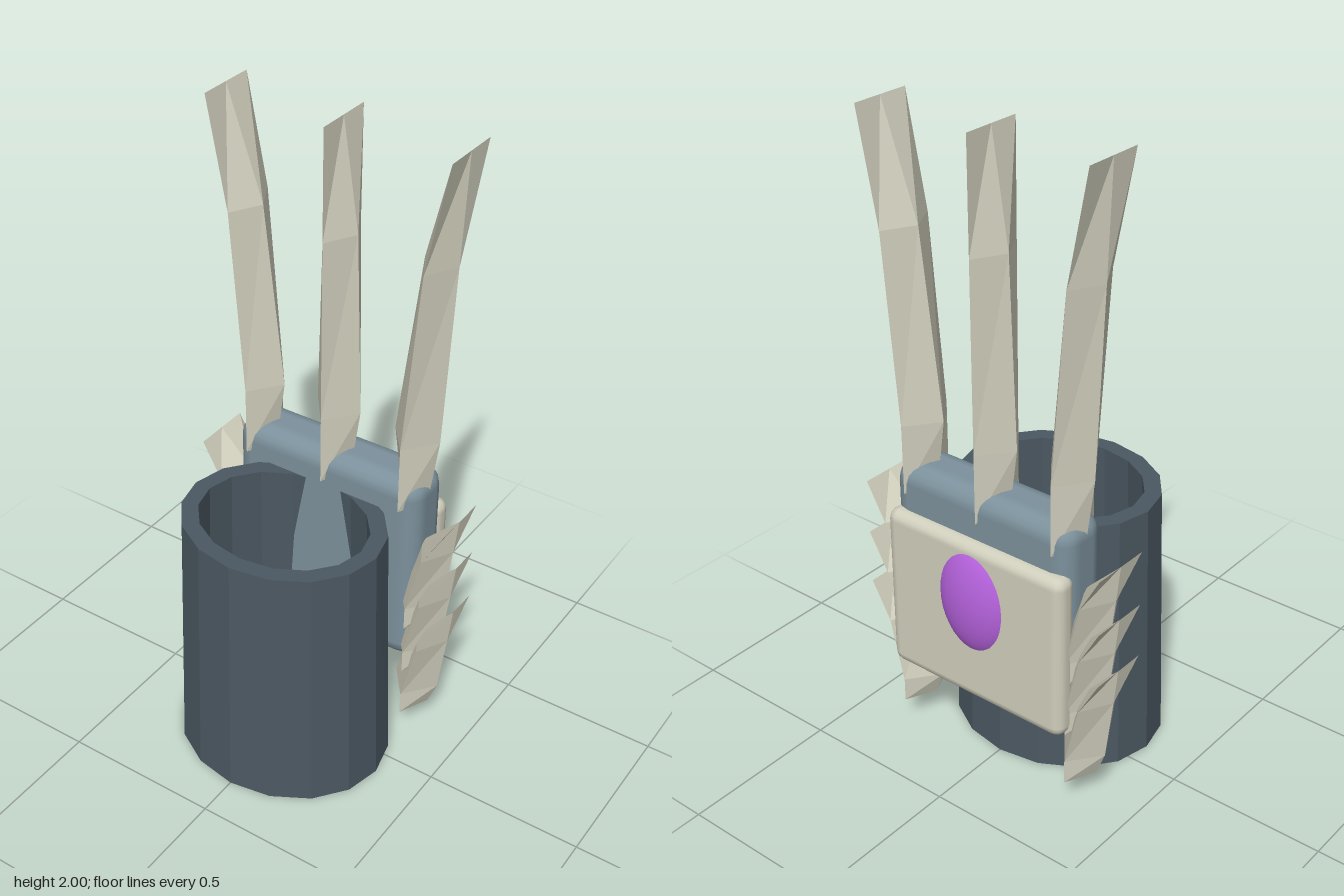
import * as THREE from 'three';
import { RoundedBoxGeometry } from 'three/addons/geometries/RoundedBoxGeometry.js';

const mat = (name, color, flatShading = false) => {
  const m = new THREE.MeshStandardMaterial({ color, flatShading });
  m.name = name;
  return m;
};

// Diamond-section blade: rows of [height, half width, sideways bend]
const BLADE = [[0, 0.045, 0], [0.22, 0.075, 0], [0.8, 0.053, 0.048], [1.14, 0, 0.115]];

function bladeGeometry(bend, heightScale, halfDepth) {
  const g = new THREE.CylinderGeometry(1, 1, 1, 4, 3);
  const p = g.attributes.position;
  for (let i = 0; i < p.count; i++) {
    const [h, w, b] = BLADE[Math.round((p.getY(i) + 0.5) * 3)];
    p.setXYZ(i, p.getX(i) * w + b * bend, h * heightScale, p.getZ(i) * halfDepth);
  }
  g.computeVertexNormals();
  return g;
}

// Oval tapered sleeve with an even wall, open at both ends
function sleeveGeometry() {
  const profile = [[0.345, 0], [0.32, 0.84], [0.268, 0.84], [0.293, 0], [0.345, 0]];
  const g = new THREE.LatheGeometry(profile.map(([r, y]) => new THREE.Vector2(r, y)), 16);
  const p = g.attributes.position;
  for (let i = 0; i < p.count; i++) {
    const r = Math.hypot(p.getX(i), p.getZ(i));
    p.setZ(i, p.getZ(i) * (r - 0.05) / r);
  }
  g.computeVertexNormals();
  return g;
}

export function createModel() {
  const model = new THREE.Group();
  model.name = 'clawGauntlet';
  const darkSteel = mat('dark steel', 0x4b5862, true);
  const blueSteel = mat('blue steel', 0x7c919c);
  const bone = mat('bone', 0xd0cebc);
  const boneFacet = mat('bone facets', 0xd0cebc, true);
  const purple = mat('purple gem', 0xb562dc);

  const add = (name, geometry, material, x, y, z) => {
    const m = new THREE.Mesh(geometry, material);
    m.name = name;
    m.position.set(x, y, z);
    model.add(m);
    return m;
  };

  add('sleeve', sleeveGeometry(), darkSteel, 0, 0, 0.075);

  // Hand guard with its back plate and gem
  add('handGuard', new RoundedBoxGeometry(0.65, 0.67, 0.173, 2, 0.06), blueSteel, 0, 0.615, -0.2195);
  add('backPlate', new RoundedBoxGeometry(0.65, 0.54, 0.08, 2, 0.036), bone, 0, 0.535, -0.3);
  const gem = add('gem', new THREE.SphereGeometry(1, 32, 20), purple, 0, 0.61, -0.305);
  gem.scale.set(0.133, 0.185, 0.07);

  // Three long claws, the outer two bending outwards
  for (const side of [-1, 0, 1]) {
    add('claw', bladeGeometry(side, 1, 0.097), boneFacet, side * 0.27, 0.86, -0.215);
  }

  // Three short spikes stacked on each flank
  for (const side of [-1, 1]) {
    for (const y of [0.09, 0.265, 0.44]) {
      add('sideSpike', bladeGeometry(side, 0.35, 0.097), boneFacet, side * 0.315, y, -0.205);
    }
  }
  return model;
}
